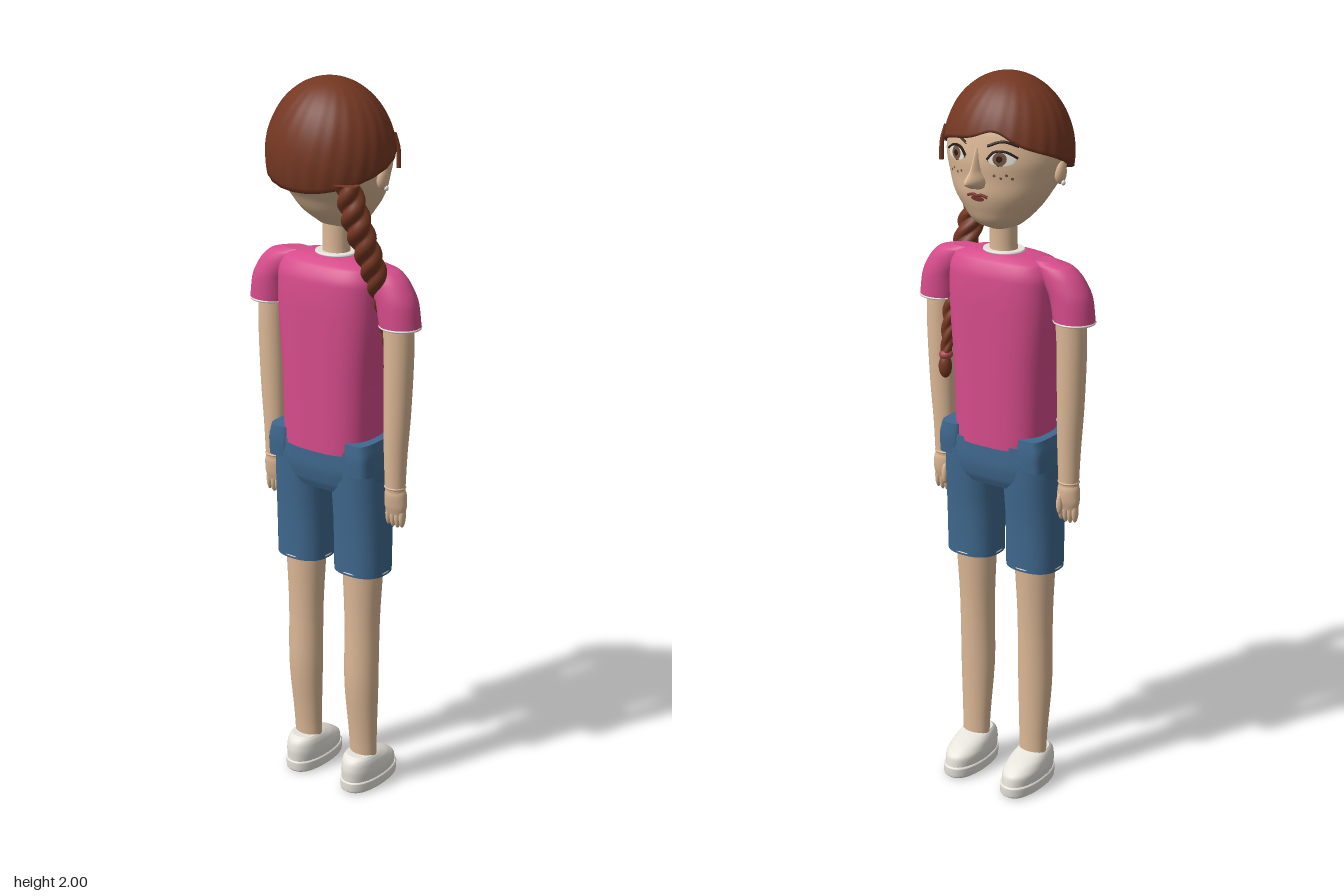
import * as THREE from 'three';

const flat = (name, color) => Object.assign(new THREE.MeshStandardMaterial({ color, side: THREE.DoubleSide }), { name });
const M = {
  skin: flat('skin', 0xdcb896), hair: flat('hair', 0x743722), pink: flat('shirt pink', 0xd64c8b),
  denim: flat('denim', 0x40698f), white: flat('off white', 0xe6e3db), dark: flat('dark brown', 0x2b1a15),
  iris: flat('iris brown', 0x7a5540), lips: flat('lips', 0x7e3a34), tie: flat('hair tie', 0xa8484a),
};

// Grid of rows by cols that closes around; fn(row, col) gives a point
function grid(rows, cols, fn) {
  const pos = [], idx = [];
  for (let r = 0; r < rows; r++) for (let c = 0; c < cols; c++) {
    pos.push(...fn(r, c));
    if (r === rows - 1) continue;
    const a = r * cols + c, b = r * cols + (c + 1) % cols;
    idx.push(a, a + cols, b, b, a + cols, b + cols);
  }
  const g = new THREE.BufferGeometry();
  g.setAttribute('position', new THREE.Float32BufferAttribute(pos, 3));
  g.setIndex(idx);
  g.computeVertexNormals();
  return g;
}

// Smooth, overshoot-free value of every section column at height y
function sample(S, y) {
  let i = 0;
  while (i < S.length - 2 && y > S[i + 1][0]) i++;
  const sec = (k, j) => (S[k + 1][j] - S[k][j]) / (S[k + 1][0] - S[k][0]);
  const slope = (k, j) => {
    if (k === 0) return sec(0, j);
    if (k === S.length - 1) return sec(k - 1, j);
    const p = sec(k - 1, j), q = sec(k, j);
    return p * q <= 0 ? 0 : 2 * p * q / (p + q);
  };
  const h = S[i + 1][0] - S[i][0], t = (y - S[i][0]) / h, t2 = t * t, t3 = t2 * t;
  return S[i].map((v, j) => j === 0 ? y
    : v * (2 * t3 - 3 * t2 + 1) + S[i + 1][j] * (3 * t2 - 2 * t3)
    + h * (slope(i, j) * (t3 - 2 * t2 + t) + slope(i + 1, j) * (t3 - t2)));
}

// Loft upward through sections [y, centreX, centreZ, radiusX, radiusZ], capped at both ends
function loft(S, { n = 2, cols = 32, sub = 5, lobe = () => 1 } = {}) {
  const ys = [S[0][0]];
  for (let i = 0; i < S.length - 1; i++)
    for (let k = 1; k <= sub; k++) ys.push(S[i][0] + (S[i + 1][0] - S[i][0]) * k / sub);
  const rows = ys.map(y => sample(S, y)), first = rows[0], last = rows[rows.length - 1];
  const point = s => [s[0], s[1], s[2], 0, 0];
  const all = [point(first), first, ...rows, last, point(last)];
  return grid(all.length, cols, (r, c) => {
    const [y, cx, cz, rx, rz] = all[r], a = c / cols * Math.PI * 2, k = lobe(a, y);
    const p = v => Math.sign(v) * Math.abs(v) ** (2 / n);
    return [cx + rx * k * p(Math.cos(a)), y, cz + rz * k * p(Math.sin(a))];
  });
}

const HEAD = [
  [1.605, 0, .02, .025, .025], [1.62, 0, .022, .062, .055], [1.66, 0, .01, .102, .092], [1.70, 0, .004, .13, .112],
  [1.75, 0, -.013, .153, .133], [1.80, 0, -.018, .164, .142], [1.86, 0, -.02, .158, .137],
  [1.92, 0, -.022, .12, .11], [1.965, 0, -.022, .06, .06], [1.98, 0, -.022, .015, .015],
];
const faceZ = (x, y) => {
  const [, , cz, rx, rz] = sample(HEAD, y);
  return cz + rz * Math.sqrt(Math.max(0, 1 - (x / rx) ** 2));
};

export function createModel() {
  const root = new THREE.Group(), body = new THREE.Group();
  root.name = 'girl';
  body.name = 'figure';
  root.add(body);
  body.rotation.y = Math.PI / 2; // the figure is modelled facing +z and looks along +x

  const add = (name, geo, mat) => {
    const m = new THREE.Mesh(geo, mat);
    m.name = name;
    body.add(m);
    return m;
  };
  const ball = (name, mat, x, y, z, rx, ry, rz) => {
    const m = add(name, new THREE.SphereGeometry(1, 20, 14), mat);
    m.position.set(x, y, z);
    m.scale.set(rx, ry, rz);
    return m;
  };
  const ring = (name, mat, x, y, z, rx, rz, tube = .004) =>
    add(name, loft([[y - tube, x, z, rx, rz], [y, x, z, rx + tube / 2, rz + tube / 2], [y + tube, x, z, rx, rz]]), mat);
  // Thin oval and thin line that follow the face
  const oval = (name, mat, x, y, rx, ry, lift) => {
    const g = new THREE.RingGeometry(0, 1, 24, 4), p = g.attributes.position;
    for (let i = 0; i < p.count; i++) {
      const px = x + p.getX(i) * rx, py = y + p.getY(i) * ry;
      p.setXYZ(i, px, py, faceZ(px, py) + lift);
    }
    g.computeVertexNormals();
    return add(name, g, mat);
  };
  const line = (name, mat, pts, r) => add(name, new THREE.TubeGeometry(
    new THREE.CatmullRomCurve3(pts.map(([x, y]) => new THREE.Vector3(x, y, faceZ(x, y) + .002))), 16, r, 6), mat);

  // Head, neck and nose
  add('head', loft(HEAD, { cols: 48 }), M.skin);
  add('neck', loft([[1.5, 0, 0, .042, .038], [1.56, 0, .002, .037, .034], [1.66, 0, .004, .038, .036]]), M.skin);
  add('nose', loft([[1.724, 0, .11, .012, .012], [1.731, 0, .112, .022, .036], [1.746, 0, .112, .025, .061],
    [1.775, 0, .112, .015, .036], [1.83, 0, .112, .008, .012]], { n: 1.5 }), M.skin);

  // Face
  line('mouth', M.lips, [[-.03, 1.705], [-.012, 1.71], [0, 1.707], [.012, 1.71], [.03, 1.705]], .004);
  oval('lowerLip', M.lips, 0, 1.699, .02, .007, .003);
  for (const s of [-1, 1]) {
    oval('eyeWhite', M.white, s * .068, 1.808, .034, .018, .003);
    oval('iris', M.iris, s * .066, 1.808, .017, .017, .0045);
    oval('pupil', M.dark, s * .066, 1.808, .008, .008, .006);
    line('upperLash', M.dark, [[s * .033, 1.805], [s * .05, 1.824], [s * .078, 1.826], [s * .106, 1.811]], .0035);
    line('lowerLash', M.dark, [[s * .035, 1.802], [s * .066, 1.79], [s * .1, 1.805]], .0012);
    line('eyebrow', M.dark, [[s * .032, 1.838], [s * .07, 1.851], [s * .106, 1.84]], .0035);
    for (const [x, y] of [[.05, 1.764], [.066, 1.758], [.08, 1.766], [.092, 1.758]])
      oval('freckle', M.iris, s * x, y, .0035, .0035, .002);
    ball('ear', M.skin, s * .16, 1.762, -.018, .014, .03, .02);
    ball('earring', M.white, s * .17, 1.737, -.016, .006, .007, .006);
  }

  // Hair cap with a slanting hairline and shallow swirled strands
  const cols = 120, rows = 32;
  add('hair', grid(rows, cols, (r, c) => {
    const a = c / cols * Math.PI * 2, d = Math.atan2(Math.sin(a - .3), Math.cos(a - .3));
    const edge = 1.79 + .06 * Math.cos(a) + .025 * Math.exp(-((d / .3) ** 2));
    const t = Math.min(r / (rows - 2), 1) * Math.acos((edge - 1.8) / .2);
    const k = Math.sin(t) * (r === rows - 1 ? .88 : 1 + .006 * Math.sin(24 * a + 5 * t) * Math.sin(t));
    return [.175 * k * Math.sin(a), 1.8 + .2 * Math.cos(t), -.022 + .153 * k * Math.cos(a)];
  }), M.hair);
  add('looseLock', new THREE.TubeGeometry(new THREE.CatmullRomCurve3([
    new THREE.Vector3(-.138, 1.86, .06), new THREE.Vector3(-.147, 1.82, .066), new THREE.Vector3(-.148, 1.77, .068),
  ]), 12, .006, 8), M.hair);

  // Braid running down over one shoulder
  add('braid', loft([[1.235, -.17, .027, .016, .016], [1.4, -.166, -.005, .027, .027], [1.55, -.158, -.062, .036, .036],
    [1.66, -.14, -.098, .04, .038], [1.76, -.125, -.118, .034, .034]],
  { cols: 30, sub: 34, lobe: (a, y) => .74 + .28 * Math.abs(Math.cos((3 * a + 130 * y) / 2)) }), M.hair);
  ball('hairTie', M.tie, -.17, 1.228, .028, .019, .014, .019);
  ball('braidTuft', M.hair, -.171, 1.195, .03, .018, .033, .018);

  // Shirt
  add('shirtTorso', loft([[1.02, 0, -.009, .135, .1], [1.2, 0, -.009, .14, .1], [1.4, 0, -.009, .154, .1],
    [1.48, 0, -.009, .155, .096], [1.52, 0, -.007, .14, .08], [1.535, 0, -.004, .1, .058], [1.54, 0, 0, .06, .045]],
  { n: 2.7, cols: 48 }), M.pink);
  ring('collarTrim', M.white, 0, 1.541, 0, .056, .048);

  // Shorts
  add('shortsHips', loft([[.905, 0, -.005, .155, .075], [.93, 0, -.005, .17, .086], [.98, 0, -.006, .173, .094],
    [1.03, 0, -.007, .166, .094]], { n: 2.8, cols: 48 }), M.denim);

  for (const s of [-1, 1]) {
    const x = s * .097;
    // Sleeve and arm
    add('sleeve', loft([[1.38, s * .213, -.009, .056, .052], [1.44, s * .203, -.009, .058, .052],
      [1.49, s * .175, -.008, .062, .048], [1.52, s * .15, -.006, .056, .04], [1.533, s * .125, -.004, .035, .026]]), M.pink);
    ring('sleeveTrim', M.white, s * .213, 1.381, -.009, .056, .052, .003);
    add('arm', loft([[.925, s * .202, -.008, .028, .025], [1.0, s * .202, -.008, .031, .028], [1.15, s * .206, -.007, .037, .034],
      [1.3, s * .208, -.006, .04, .038], [1.45, s * .2, -.005, .042, .04]]), M.skin);
    ring('wristFold', M.skin, s * .202, .935, -.008, .029, .026, .003);
    add('palm', loft([[.86, s * .203, -.006, .028, .016], [.885, s * .203, -.006, .033, .023],
      [.915, s * .203, -.007, .031, .026], [.935, s * .202, -.008, .025, .023]]), M.skin);
    for (let f = 0; f < 4; f++)
      ball('finger', M.skin, s * (.181 + f * .0145), .856 - (f % 3 ? .004 : 0), -.006, .0085, .034, .012);
    ball('thumb', M.skin, s * .188, .875, .014, .009, .03, .01);

    // Shorts leg and raised hip panel
    add('shortsLeg', loft([[.67, x, -.007, .077, .068], [.8, x, -.007, .077, .073], [.93, s * .094, -.006, .078, .084],
      [.99, s * .092, -.006, .076, .088]], { n: 2.4 }), M.denim);
    ring('shortsHem', M.white, x, .677, -.007, .077, .068, .0025);
    add('hipPanel', loft([[.97, s * .128, -.007, .042, .086], [1.02, s * .127, -.007, .042, .09],
      [1.058, s * .122, -.007, .038, .088]], { n: 4 }), M.denim);

    // Leg
    add('leg', loft([[.08, x, 0, .04, .03], [.15, x, -.003, .042, .032], [.35, x, -.012, .05, .043],
      [.48, x, -.01, .05, .044], [.7, x, -.007, .059, .053]]), M.skin);

    // Shoe
    add('shoeSole', loft([[0, x, .025, .045, .095], [.008, x, .025, .053, .104], [.032, x, .025, .054, .105],
      [.036, x, .025, .051, .102]], { n: 2.3 }), M.white);
    add('shoeUpper', loft([[.034, x, .024, .05, .101], [.06, x, .021, .053, .099], [.082, x, .008, .05, .083],
      [.098, x, -.006, .044, .06], [.106, x, -.012, .038, .042]], { n: 2.2 }), M.white);
    for (const e of [-1, 1]) for (const [y, z] of [[.092, .055], [.083, .075]])
      ball('laceHole', M.dark, x + e * .016, y, z, .003, .003, .003);
  }
  return root;
}
